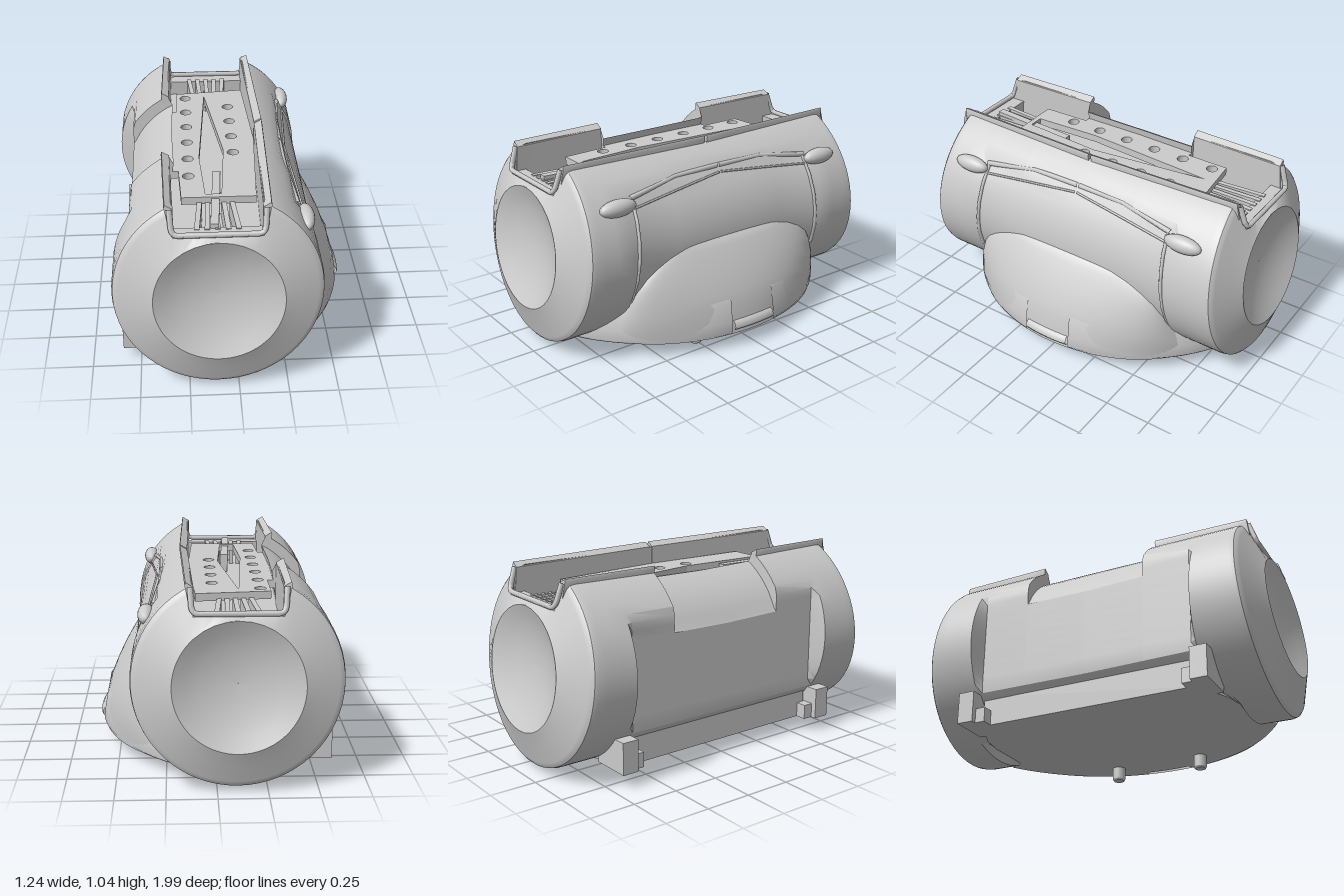
import * as THREE from 'three';
import { toCreasedNormals } from 'three/addons/utils/BufferGeometryUtils.js';

const CX = -0.1, CY = 0.55;
const mat = new THREE.MeshStandardMaterial({ color: 0xcccccc, side: THREE.DoubleSide });

function add(group, name, geo, x = 0, y = 0, z = 0) {
  const m = new THREE.Mesh(geo, mat);
  m.name = name;
  m.position.set(x, y, z);
  group.add(m);
  return m;
}

// Skin a list of equal-length closed rings of [x, y, z]
function loft(rings, caps = false, crease = 0.5) {
  const n = rings[0].length, idx = [];
  for (let i = 0; i < rings.length - 1; i++)
    for (let j = 0; j < n; j++) {
      const a = i * n + j, c = i * n + (j + 1) % n;
      idx.push(a, a + n, c, c, a + n, c + n);
    }
  if (caps) {
    const e = (rings.length - 1) * n;
    for (let j = 1; j < n - 1; j++) idx.push(0, j, j + 1, e, e + j + 1, e + j);
  }
  const g = new THREE.BufferGeometry();
  g.setAttribute('position', new THREE.Float32BufferAttribute(rings.flat(2), 3));
  g.setIndex(idx);
  return toCreasedNormals(g, crease);
}

const slotHalf = (z) => 0.215 + 0.022 * Math.max(0, 1 - Math.abs(z) / 0.9);
const drumX = (y, r) => CX + Math.sqrt(r * r - (y - CY) ** 2);

// One drum ring: circle with top slot, flat side, lowered tab, side recess and flat bottom
function drumRing(z, r) {
  const d = Math.abs(z), s = Math.sign(z), ring = [];
  const point = (t, slot) => {
    let q = r;
    if (d < 0.6 && t > 0.85 && t < 2.1) q -= 0.012;
    if (d < 0.34 && t > Math.PI * 2 - 1.2) q = 0.46;
    let x = CX + q * Math.sin(t), y = CY + q * Math.cos(t);
    if (slot) y = Math.min(y, d < 0.85 ? 0.8 : 0.885);
    if (d < 0.6) x = Math.max(x, -0.53);
    if (d < 0.72) y = Math.max(y, 0.08);
    const tilt = THREE.MathUtils.clamp((d - 0.8) / 0.05, 0, 1);
    ring.push([x, y, z - s * 0.1 * (y - CY) * tilt]);
  };
  const a = Math.asin(Math.min(0.69, slotHalf(z) / r));
  for (let k = 0; k <= 8; k++) point(-a + 2 * a * k / 8, true);
  for (let k = 0; k <= 56; k++) point(a + (2 * Math.PI - 2 * a) * k / 56, false);
  return ring;
}

function drumGeometry() {
  const half = [0.01, 0.339, 0.341, 0.599, 0.63, 0.719, 0.74, 0.8, 0.849, 0.851].map((z) => [z, 0.52]);
  half.push([0.874, 0.515], [0.887, 0.5], [0.892, 0.488], [0.932, 0.395], [0.964, 0.322]);
  // concave end dish
  const R = 0.7, rimDepth = Math.sqrt(R * R - 0.32 * 0.32);
  for (const r of [0.32, 0.26, 0.2, 0.13, 0.06, 0.001])
    half.push([0.965 - (Math.sqrt(R * R - r * r) - rimDepth), r]);
  const back = half.map(([z, r]) => [-z, r]).reverse();
  return loft([...back, ...half].map(([z, r]) => drumRing(z, r)), false, 0.4);
}

// Raised wall along one edge of the slot, with its lip leaning outward
function flange(side, z0, z1) {
  const rings = [];
  for (let k = 0; k <= 6; k++) {
    const z = z0 + (z1 - z0) * k / 6, w = slotHalf(z) - 0.005;
    rings.push([[0, 0.8], [0, 1.015], [0.038, 1.037], [0.042, 1.022], [0.03, 0.97], [0.02, 0.8]]
      .map(([o, y]) => [CX + side * (w + o), y, z - Math.sign(z) * 0.1 * (y - 0.9) * (k === 6 ? 1 : 0)]));
  }
  if (side * z1 > 0) rings.reverse();
  return loft(rings, true);
}

// Side bulge: half ellipses stacked in height, from [y, reach in x, half width in z]
function bulgeGeometry() {
  const levels = [[0.078, 0.6, 0.76], [0.16, 0.59, 0.7], [0.24, 0.576, 0.65], [0.3, 0.557, 0.625],
    [0.37, 0.527, 0.59], [0.43, 0.496, 0.55], [0.48, 0.467, 0.49], [0.52, 0.442, 0.42], [0.55, 0.42, 0.35],
    [0.57, 0.385, 0.3]];
  return loft(levels.map(([y, reach, w]) => {
    const x0 = drumX(y, 0.49), ring = [];
    for (let k = 0; k <= 40; k++) {
      const a = Math.PI * (0.5 - k / 40);
      ring.push([x0 + (reach - x0) * Math.cos(a), y, w * Math.sin(a)]);
    }
    return ring;
  }));
}

function tube(points, radius) {
  const path = new THREE.CurvePath();
  const v = points.map((p) => new THREE.Vector3(...p));
  for (let i = 0; i < v.length - 1; i++) path.add(new THREE.LineCurve3(v[i], v[i + 1]));
  return new THREE.TubeGeometry(path, 60, radius, 6);
}

// Thin bead along the +x side of the drum, through [y, z] points
const bead = (pts, radius) => tube(pts.map(([y, z]) => [drumX(y, 0.51), y, z]), radius);

// Flat plate from a shape drawn in x and -z
function plate(shape, depth, y) {
  const g = new THREE.ExtrudeGeometry(shape, { depth, bevelEnabled: false, curveSegments: 32 });
  return g.rotateX(-Math.PI / 2).translate(0, y, 0);
}

const outline = (pts) => new THREE.Shape(pts.map(([x, z]) => new THREE.Vector2(x, -z)));

// Part of a surface of revolution facing +x, between two angles from +x
function turned(profile, a0, a1) {
  const pts = profile.map(([r, y]) => new THREE.Vector2(r, y));
  return new THREE.LatheGeometry(pts, 40, Math.PI / 2 + a0, a1 - a0);
}

export function createModel() {
  const model = new THREE.Group();
  model.name = 'drumHousing';
  add(model, 'drumShell', drumGeometry());

  // Perforated deck inside the slot
  const deck = outline([[-0.28, -0.57], [0.1, -0.61], [0.13, 0], [0.1, 0.6], [-0.27, 0.6],
    [-0.28, 0.34], [-0.34, 0.34], [-0.34, -0.34], [-0.28, -0.34]]);
  const hole = (x, z) => deck.holes.push(new THREE.Path().absarc(x, -z, 0.03, 0, Math.PI * 2, true));
  for (let k = 0; k < 6; k++) hole(-0.23, -0.51 + 0.18 * k);
  for (let k = 0; k < 4; k++) hole(0.01, -0.39 + 0.18 * k);
  deck.holes.push(outline([[-0.12, -0.53], [-0.17, 0.2], [-0.15, 0.57], [-0.07, 0.57], [-0.04, 0.12]]));
  add(model, 'slotDeck', plate(deck, 0.04, 0.88));
  const blade = add(model, 'deckBlade', new THREE.BoxGeometry(0.04, 0.1, 0.5), -0.1, 0.86, 0.58);
  blade.rotation.y = -0.06;

  // Base plate with a curved front edge
  const base = new THREE.Shape();
  base.absarc(-0.33, 0, 0.89, -Math.PI / 3, Math.PI / 3, false);
  base.lineTo(-0.3, 0.7);
  base.lineTo(-0.5, 0.6);
  base.lineTo(-0.5, -0.6);
  base.lineTo(-0.3, -0.7);
  add(model, 'basePlate', plate(base, 0.165, 0.075));

  // Side bulge and the lip below it, split around a small catch
  add(model, 'sideBulge', bulgeGeometry());
  const lip = [[0.87, 0.074], [0.925, 0.076], [0.937, 0.09], [0.932, 0.15], [0.912, 0.265], [0.885, 0.272]];
  for (const s of [-1, 1])
    add(model, 'bulgeLip', turned(lip, s > 0 ? 0.15 : -1.05, s > 0 ? 1.05 : -0.15)).position.x = -0.33;
  const catchProfile = [[0.915, 0.09], [0.94, 0.105], [0.948, 0.12], [0.935, 0.145], [0.915, 0.155]];
  add(model, 'frontCatch', turned(catchProfile, -0.14, 0.14)).position.x = -0.33;

  for (const s of [-1, 1]) {
    // Slot walls, with the -x wall open in the middle
    add(model, 'slotWall', flange(1, s * 0.008, s * 0.87));
    add(model, 'slotWall', flange(-1, s * 0.34, s * 0.87));

    // Trim around each end of the slot
    add(model, 'slotEndTrim', tube([[0.128, 1.015, s * 0.86], [0.122, 0.925, s * 0.89], [0.113, 0.904, s * 0.898],
      [0.095, 0.897, s * 0.902], [-0.295, 0.897, s * 0.902], [-0.313, 0.904, s * 0.898], [-0.322, 0.925, s * 0.89],
      [-0.328, 1.015, s * 0.86]], 0.014));

    // Ribs at each end of the slot
    for (let k = 0; k < 5; k++) {
      const rib = add(model, 'slotRib', new THREE.BoxGeometry(0.025, 0.09, 0.26), -0.19 + k * 0.045, 0.845, s * 0.71);
      rib.rotation.y = s * (k - 2) * 0.04;
    }

    // Side ridge, its end knob and the panel seams
    add(model, 'sideRidge', bead([[0.9, s * 0.005], [0.897, s * 0.28], [0.855, s * 0.58]], 0.014));
    add(model, 'panelSeam', bead([[0.87, s * 0.005], [0.84, s * 0.3], [0.81, s * 0.57]], 0.006));
    add(model, 'panelSeam', bead([0.85, 0.75, 0.65, 0.55, 0.45, 0.35, 0.27]
      .map((y) => [y, s * (0.57 + 0.05 * (0.85 - y) / 0.58)]), 0.01));
    const knob = add(model, 'sideKnob', new THREE.SphereGeometry(1, 20, 14), 0.34, 0.835, s * 0.67);
    knob.scale.set(0.042, 0.045, 0.105);

    // Rear mounting feet
    add(model, 'rearFoot', new THREE.BoxGeometry(0.22, 0.17, 0.09), -0.48, 0.16, s * 0.655);
    add(model, 'rearFootStep', new THREE.BoxGeometry(0.1, 0.08, 0.06), -0.51, 0.115, s * 0.585);

    // Locating pins
    add(model, 'locatingPin', new THREE.CylinderGeometry(0.036, 0.036, 0.08, 20), 0.42, 0.05, s * 0.255);
    add(model, 'pinTip', new THREE.CylinderGeometry(0.036, 0.03, 0.01, 20), 0.42, 0.005, s * 0.255);
  }
  return model;
}
